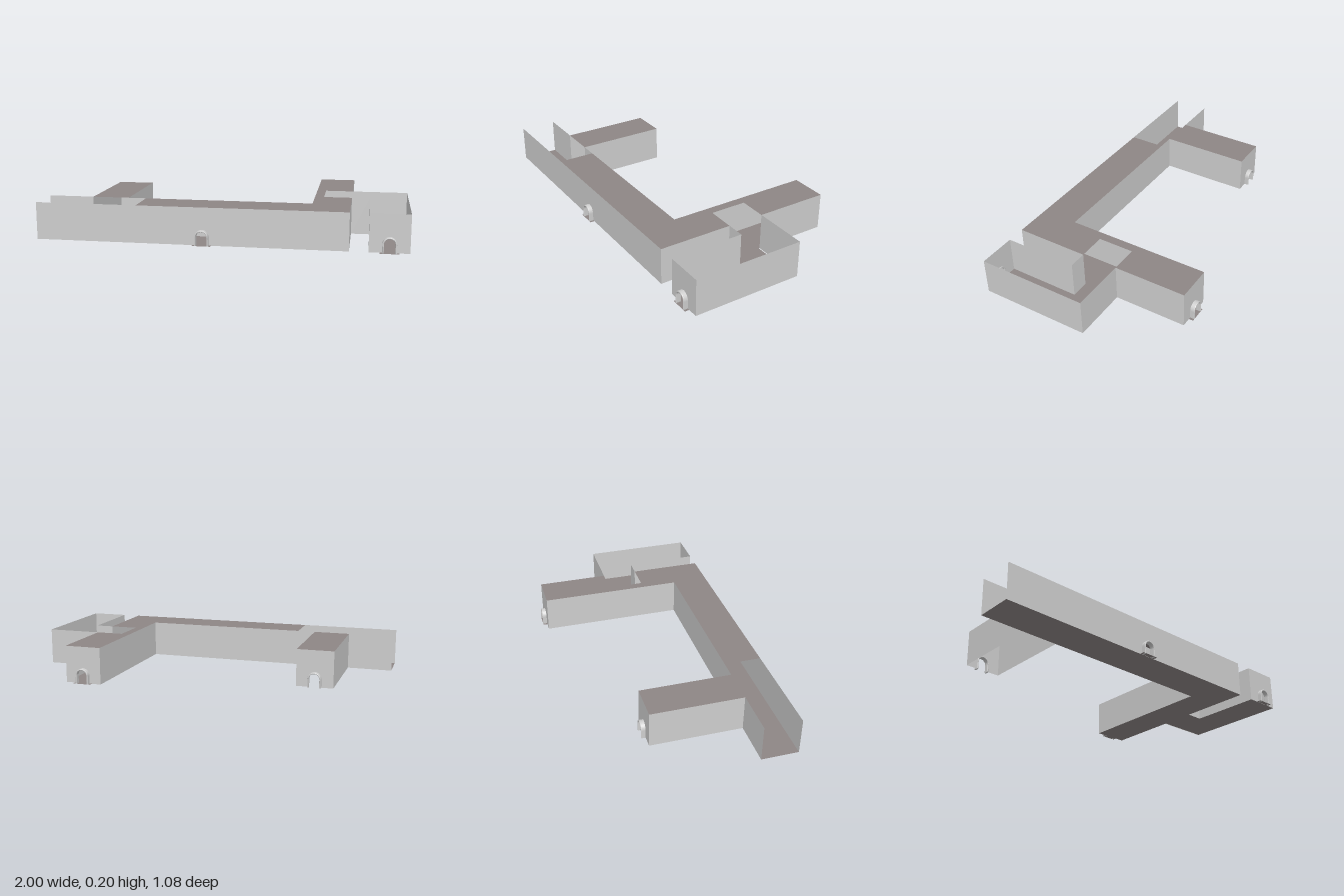
import * as THREE from 'three';

const H = 0.205;      // corridor height
const DEPTH = 0.025;  // how far door frames stand out

export function createModel() {
  const model = new THREE.Group();
  model.name = 'corridors';
  const grey = new THREE.MeshStandardMaterial({ name: 'wallGrey', color: 0xcecece, side: THREE.DoubleSide });
  const brown = new THREE.MeshStandardMaterial({ name: 'floorBrown', color: 0x8e8685, side: THREE.DoubleSide });

  const add = (parent, name, geometry, material) => {
    const mesh = new THREE.Mesh(geometry, material);
    mesh.name = name;
    parent.add(mesh);
    return mesh;
  };

  // Flat horizontal sheet from an outline of [x, z] corners
  const sheet = (name, y, corners) => {
    const shape = new THREE.Shape(corners.map(([x, z]) => new THREE.Vector2(x, -z)));
    add(model, name, new THREE.ShapeGeometry(shape).rotateX(-Math.PI / 2), brown).position.y = y;
  };

  // Arched doorway outline, traced from its left foot over the top to its right foot
  const traceArch = (shape, u, r, top) => {
    shape.lineTo(u - r, 0);
    shape.lineTo(u - r, top - r);
    shape.absarc(u, top - r, r, Math.PI, 0, true);
    shape.lineTo(u + r, 0);
  };

  // Thin wall between two points; the outside is on the right of its direction
  const wall = (name, x0, z0, x1, z1, door, threshold = true) => {
    const length = Math.hypot(x1 - x0, z1 - z0);
    const group = new THREE.Group();
    group.name = name;
    group.position.set(x0, 0, z0);
    group.rotation.y = Math.atan2(z0 - z1, x1 - x0);
    model.add(group);

    const shape = new THREE.Shape();
    shape.moveTo(0, 0);
    if (door !== undefined) traceArch(shape, door, 0.029, 0.077);
    shape.lineTo(length, 0);
    shape.lineTo(length, H);
    shape.lineTo(0, H);
    add(group, name + 'Panel', new THREE.ShapeGeometry(shape, 10), grey);
    if (door === undefined) return;

    // Projecting door frame with a slightly rounded outer lip
    const frame = new THREE.Shape();
    frame.moveTo(door - 0.037, 0);
    traceArch(frame, door, 0.037, 0.085);
    frame.lineTo(door + 0.029, 0);
    frame.lineTo(door + 0.029, 0.048);
    frame.absarc(door, 0.048, 0.029, 0, Math.PI, false);
    frame.lineTo(door - 0.029, 0);
    const lip = 0.004;
    add(group, 'doorFrame', new THREE.ExtrudeGeometry(frame, {
      depth: DEPTH - lip, bevelEnabled: true, bevelThickness: lip, bevelSize: 0.003,
      bevelOffset: -0.003, bevelSegments: 2, curveSegments: 10,
    }), grey);

    // Doorstep level with the floor
    if (threshold) {
      const step = new THREE.PlaneGeometry(0.1, DEPTH).rotateX(-Math.PI / 2);
      add(group, 'doorstep', step, brown).position.set(door, 0.001, DEPTH / 2);
    }
  };

  const F = 0.512, B = -0.513; // front and back ends

  // Floors
  sheet('mainFloor', 0, [[-1, F], [0.69, F], [0.69, B], [0.485, B], [0.485, 0.305], [-1, 0.305]]);
  sheet('sideRoomFloor', 0, [[0.69, 0.1], [0.79, 0.1], [0.79, F], [1, F], [1, -0.1], [0.69, -0.1]]);

  // Roofs, with a notch where the side passage joins
  sheet('mainRoof', H, [[-0.44, F], [0.69, F], [0.69, 0.1], [0.535, 0.1], [0.535, -0.105],
    [0.69, -0.105], [0.69, B], [0.485, B], [0.485, 0.305], [-0.44, 0.305]]);
  sheet('leftArmRoof', H, [[-0.745, 0.305], [-0.54, 0.305], [-0.54, -0.21], [-0.745, -0.21]]);

  // Long corridor
  wall('frontWall', -1, F, 0.69, F, 0.918);
  wall('rearWallEnd', -0.745, 0.305, -1, 0.305);
  wall('rearWall', 0.485, 0.305, -0.54, 0.305);

  // Tall arm
  wall('armInnerWall', 0.485, B, 0.485, 0.305);
  wall('armOuterWallFront', 0.69, F, 0.69, 0.1);
  wall('armOuterWallBack', 0.69, -0.105, 0.69, B);
  wall('armEndWall', 0.69, B, 0.485, B, 0.1025);

  // Short arm, which has no floor
  wall('shortArmWallA', -0.745, -0.21, -0.745, 0.305);
  wall('shortArmWallB', -0.54, 0.305, -0.54, -0.21);
  wall('shortArmEndWall', -0.54, -0.21, -0.745, -0.21, 0.1025, false);

  // Open-topped side passage
  wall('sideFrontWall', 0.79, F, 1, F, 0.105);
  wall('sideOuterWall', 1, F, 1, -0.105);
  wall('sideBackWall', 1, -0.105, 0.69, -0.105);
  wall('sideInnerWall', 0.79, 0.1, 0.79, F);
  wall('sideLinkWall', 0.69, 0.1, 0.79, 0.1);

  return model;
}
